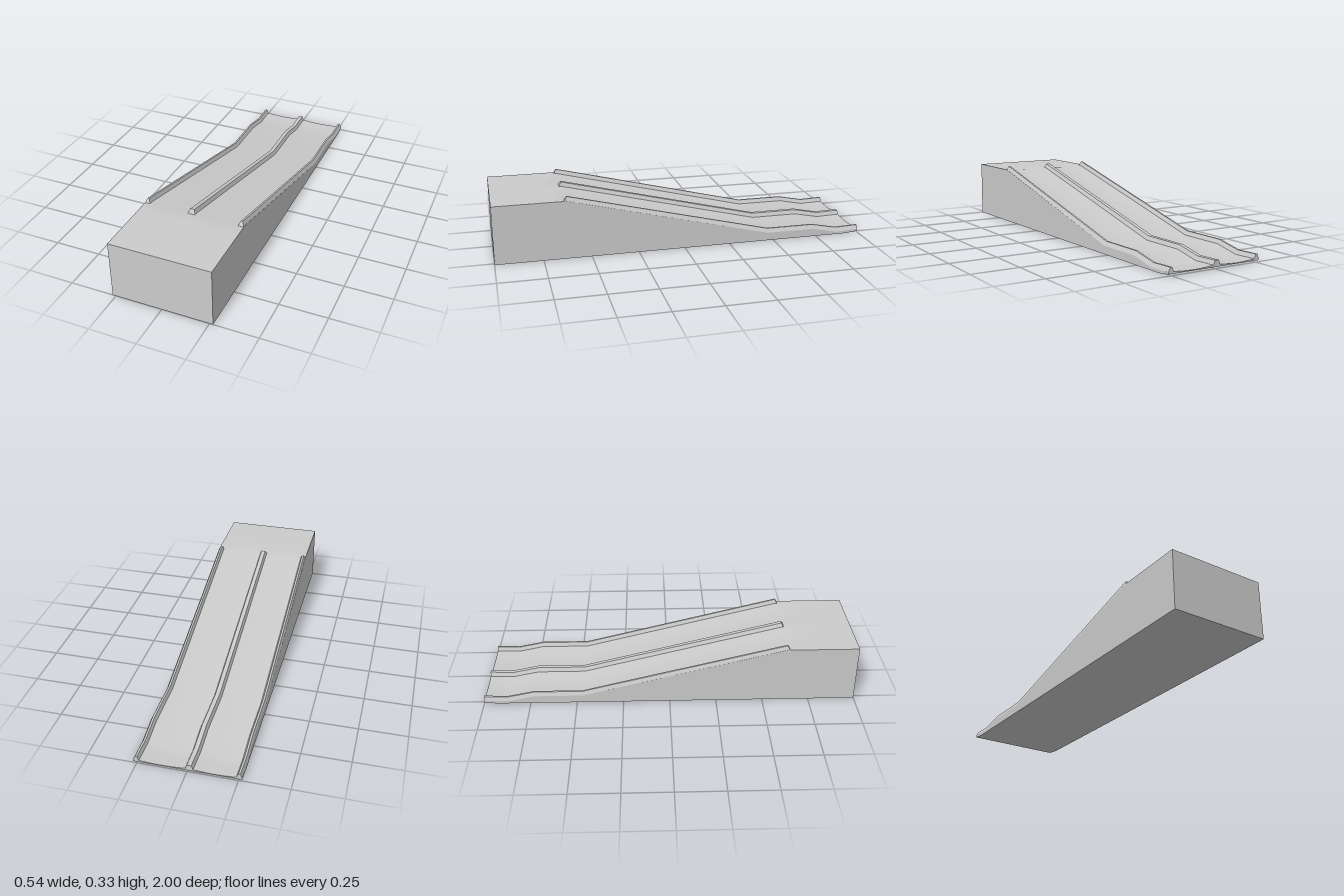
import * as THREE from 'three';
import { toCreasedNormals } from 'three/addons/utils/BufferGeometryUtils.js';

const material = new THREE.MeshStandardMaterial({ color: 0xcccccc });

// Closed solid through equal-sized rings, ordered front (+z) to back, each counter-clockwise from the front.
function loft(rings) {
  const n = rings[0].length;
  const index = [];
  for (let i = 0; i < rings.length - 1; i++) {
    for (let j = 0; j < n; j++) {
      const k = (j + 1) % n;
      const a = i * n + j, b = i * n + k, c = a + n, d = b + n;
      index.push(a, c, d, a, d, b);
    }
  }
  const last = (rings.length - 1) * n;
  const outline = (ring) => ring.map(([x, y]) => new THREE.Vector2(x, y));
  for (const [a, b, c] of THREE.ShapeUtils.triangulateShape(outline(rings[0]), [])) index.push(a, b, c);
  for (const [a, b, c] of THREE.ShapeUtils.triangulateShape(outline(rings.at(-1)), [])) index.push(last + a, last + c, last + b);
  const geometry = new THREE.BufferGeometry();
  geometry.setAttribute('position', new THREE.Float32BufferAttribute(rings.flat(2), 3));
  geometry.setIndex(index);
  return toCreasedNormals(geometry, 0.5);
}

// Side profile of the running surface: [z, y]
const slope = [[0.62, 0.312], [-0.47, 0.043], [-0.73, 0.043], [-0.87, 0.014], [-1, 0.018]];
const deck = [[1, 0.312], [0.8, 0.312], [0.7, 0.312], ...slope.slice(0, 4), [-0.93, 0.016], slope[4]];

// Rails: [base left, top left, top right, base right]
const rails = {
  rightRail: [-0.268, -0.26, -0.25, -0.24],
  middleRail: [-0.031, -0.022, 0, 0.009],
  leftRail: [0.238, 0.247, 0.257, 0.268],
};
const railHeight = 0.022;
const dip = 0.006;

// Across the deck: flat under the rails, shallow troughs in the two lanes
function deckAcross() {
  const points = [[0.268, 0]];
  for (const [from, to] of [[0.238, 0.009], [-0.031, -0.24]]) {
    for (let i = 0; i <= 10; i++) {
      points.push([from + (to - from) * i / 10, -dip * Math.sin(Math.PI * i / 10)]);
    }
  }
  points.push([-0.268, 0]);
  return points;
}

export function createModel() {
  const model = new THREE.Group();
  const add = (name, geometry) => {
    const mesh = new THREE.Mesh(geometry, material);
    mesh.name = name;
    model.add(mesh);
  };

  // Solid ramp body with platform; the troughs fade out onto the platform
  const across = deckAcross();
  add('rampBody', loft(deck.map(([z, y]) => {
    const fade = z > 0.75 ? 0 : z > 0.65 ? 0.4 : 1;
    const bottom = z < -0.95 ? 0.008 : 0;
    return [
      [-0.268, bottom, z], [0.268, bottom, z],
      ...across.map(([x, drop]) => [x, y + drop * fade, z]),
    ];
  })));

  // Trapezoid rails following the slope, bevelled at the upper end
  for (const [name, [bl, tl, tr, br]] of Object.entries(rails)) {
    add(name, loft(slope.map(([z, y], i) => {
      const foot = i === 0 ? z + 0.012 : z;
      return [
        [bl, y, foot], [br, y, foot],
        [tr, y + railHeight, z], [tl, y + railHeight, z],
      ];
    })));
  }
  return model;
}
